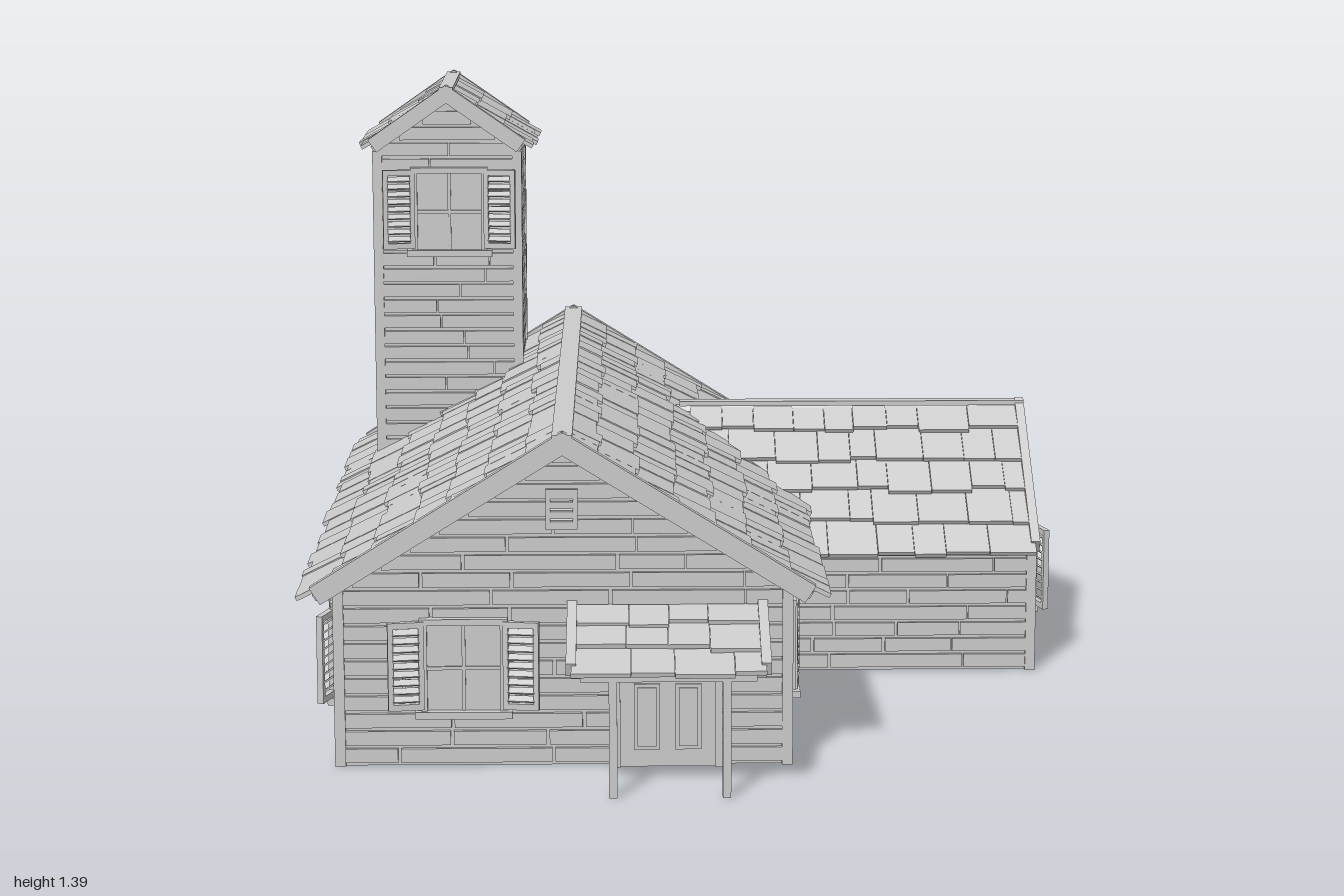
import * as THREE from 'three';
import { mergeGeometries } from 'three/addons/utils/BufferGeometryUtils.js';

const mat = new THREE.MeshStandardMaterial({ color: 0xcccccc, flatShading: true });

let seed = 7;
const rnd = (a, b) => {
  seed = (seed * 16807) % 2147483647;
  return a + (b - a) * seed / 2147483647;
};

// Box given by size and centre, optionally tilted about x
function box(w, h, d, x, y, z, tilt = 0) {
  const g = new THREE.BoxGeometry(w, h, d);
  if (tilt) g.rotateX(tilt);
  return g.translate(x, y, z);
}

function add(parent, name, geos) {
  const mesh = new THREE.Mesh(Array.isArray(geos) ? mergeGeometries(geos) : geos, mat);
  mesh.name = name;
  parent.add(mesh);
  return mesh;
}

// Group whose +z points out of a wall: x runs along the wall, y up
function face(parent, name, x, y, z, ry) {
  const g = new THREE.Group();
  g.name = name;
  g.position.set(x, y, z);
  g.rotation.y = ry;
  parent.add(g);
  return g;
}

// Staggered planks with gaps; half(y) gives half the wall width at a height
function siding(wall, y0, y1, half) {
  const geos = [], row = 0.04;
  for (let y = y0; y < y1 - 0.012; y += row) {
    const h = Math.min(row, y1 - y) - 0.008, yc = y + 0.008 + h / 2, e = half(yc);
    if (e < 0.015) continue;
    let x = -e;
    while (x < e - 0.001) {
      let end = x + rnd(0.14, 0.36);
      if (end > e - 0.06) end = e;
      geos.push(box(end - x - (end < e ? 0.007 : 0), h, 0.01, (x + end) / 2, yc, -0.005));
      x = end;
    }
  }
  add(wall, 'sidingPlanks', geos);
}

// Gabled building body, ridge along local z, with planks on all four sides
function building(parent, name, { x, z, ry, half, len, base, eave, ridge }) {
  const b = face(parent, name, x, 0, z, ry);
  const s = half - 0.009, l = len - 0.018;
  const shape = new THREE.Shape([[-s, base], [s, base], [s, eave], [0, ridge], [-s, eave]]
    .map(p => new THREE.Vector2(...p)));
  add(b, 'wallCore', new THREE.ExtrudeGeometry(shape, { depth: l, bevelEnabled: false }).translate(0, 0, -l / 2));
  const gable = y => Math.min(half, half * (ridge - y) / (ridge - eave));
  for (const k of [0, 1]) {
    siding(face(b, 'gableWall', 0, 0, (k ? -1 : 1) * len / 2, k * Math.PI), base, ridge, gable);
    siding(face(b, 'sideWall', (k ? -1 : 1) * half, 0, 0, (k ? -1 : 1) * Math.PI / 2), base, eave, () => len / 2);
  }
  const posts = [];
  for (const i of [-1, 1]) for (const j of [-1, 1])
    posts.push(box(0.024, eave - base, 0.024, i * (half - 0.009), (eave + base) / 2, j * (len / 2 - 0.009)));
  add(b, 'cornerTrim', posts);
  return b;
}

// One roof slope hung from its ridge: x along the ridge, y the normal, z downhill
function slope(parent, name, { at, ry, run, drop, x0, x1, rows, start, ends = [0, 1], barge = 0.045 }) {
  const g = new THREE.Group();
  g.name = name;
  g.position.set(...at);
  g.rotation.set(Math.atan2(drop, run), ry, 0, 'YXZ');
  parent.add(g);
  const L = Math.hypot(run, drop), step = L / rows, w = x1 - x0, c = (x0 + x1) / 2;
  add(g, 'roofDeck', box(w, 0.016, L - 0.03, c, -0.024, L / 2 - 0.015));
  const shingles = [];
  for (let r = 0; r < rows; r++) {
    const [a, b] = start ? start((r + 0.75) / rows) : [x0, x1];
    let x = a;
    while (x < b - 0.001) {
      let end = x + rnd(0.05, 0.13);
      if (end > b - 0.04) end = b;
      const low = (r + 1) * step + rnd(-0.014, 0.008), top = Math.max(0, r * step - 0.02);
      shingles.push(box(end - x - 0.001, 0.01, low - top, (x + end) / 2,
        -0.009 + rnd(-0.002, 0.002), (low + top) / 2, -0.1));
      x = end;
    }
  }
  add(g, 'shingles', shingles);
  add(g, 'bargeboards', ends.map(e =>
    box(0.022, barge, L - 0.035, e ? x1 : x0, -barge / 2 + 0.003, (L - 0.035) / 2)));
  return g;
}

// Louvred shutter hinged at its local x = 0, reaching to x = w
function shutter(parent, x, y, w, h, angle) {
  const s = face(parent, 'shutter', x, y, 0.012, angle), a = Math.abs(w);
  const geos = [box(a, 0.014, 0.014, w / 2, 0.007, 0), box(a, 0.014, 0.014, w / 2, h - 0.007, 0)];
  for (const k of [0, 1])
    geos.push(box(0.012, h, 0.014, k ? w - Math.sign(w) * 0.006 : Math.sign(w) * 0.006, h / 2, 0));
  for (let i = 0; i < 9; i++)
    geos.push(box(a - 0.02, 0.004, 0.017, w / 2, 0.024 + i * (h - 0.048) / 8, 0, 0.6));
  add(s, 'louvres', geos);
}

// Window centred at x with its sill at y; shutters open beside it or closed over it
function windowUnit(wall, x, y, open, ajar = 0.15) {
  const g = face(wall, 'window', x, y, 0, 0), w = 0.175, h = 0.225;
  add(g, 'pane', box(w, h, 0.008, 0, h / 2, 0.002));
  add(g, 'windowFrame', [
    box(0.014, h, 0.022, -w / 2, h / 2, 0.003), box(0.014, h, 0.022, w / 2, h / 2, 0.003),
    box(w + 0.02, 0.014, 0.024, 0, h - 0.007, 0.004), box(w + 0.04, 0.016, 0.034, 0, 0.008, 0.008),
    box(0.008, h, 0.012, 0, h / 2, 0.004), box(w, 0.008, 0.012, 0, h / 2, 0.004)]);
  for (const s of [-1, 1]) {
    if (open) shutter(g, s * w / 2, 0.02, s * 0.08, 0.2, -s * ajar);
    else shutter(g, s * w / 2, 0.014, -s * 0.084, 0.2, s * 0.1);
  }
}

// Four-panel door
function door(wall, x) {
  const g = face(wall, 'door', x, 0, 0, 0);
  add(g, 'doorLeaf', box(0.21, 0.27, 0.016, 0, 0.135, 0));
  add(g, 'doorFrame', [box(0.016, 0.29, 0.028, -0.113, 0.145, 0.002),
    box(0.016, 0.29, 0.028, 0.113, 0.145, 0.002), box(0.242, 0.018, 0.028, 0, 0.281, 0.002)]);
  const panels = [];
  for (const s of [-1, 1]) for (const [y, h] of [[0.115, 0.15], [0.23, 0.045]])
    panels.push(box(0.058, h, 0.008, s * 0.046, y, 0.008), box(0.042, h - 0.016, 0.008, s * 0.046, y, 0.011));
  add(g, 'doorPanels', panels);
}

export function createModel() {
  seed = 7;
  const house = new THREE.Group();
  house.name = 'house';
  const H = Math.PI / 2;

  // Wall bodies
  building(house, 'mainBuilding', { x: -0.295, z: -0.12, ry: 0, half: 0.505, len: 1.67, base: 0, eave: 0.4, ridge: 0.715 });
  building(house, 'sideWing', { x: 0.42, z: -0.47, ry: H, half: 0.41, len: 0.84, base: 0, eave: 0.3, ridge: 0.56 });
  building(house, 'tower', { x: -0.605, z: -0.745, ry: 0, half: 0.185, len: 0.37, base: 0.4, eave: 1.22, ridge: 1.345 });
  add(house, 'junctionTrim', box(0.03, 0.36, 0.03, 0.225, 0.18, -0.06));

  // Roofs: each pair of slopes mirrors about its ridge
  for (const s of [-1, 1]) {
    const z0 = s > 0 ? -0.725 : -0.965, z1 = s > 0 ? 0.965 : 0.725;
    slope(house, 'mainRoofSlope', { at: [-0.295, 0.757, 0], ry: s * H, run: 0.585, drop: 0.365, x0: z0, x1: z1, rows: 7 });
    slope(house, 'towerRoofSlope', { at: [-0.605, 1.385, -0.753], ry: s * H, run: 0.225, drop: 0.157,
      x0: -0.2, x1: 0.2, rows: 3, barge: 0.038 });
    // Wing courses begin where they leave the main roof
    const valley = t => {
      const v = Math.min(0.21, -0.295 + (0.757 - 0.595 + t * 0.295) / 0.624 - 0.03);
      return s > 0 ? [v, 0.84] : [-0.84, -v];
    };
    slope(house, 'wingRoofSlope', { at: [0, 0.597, -0.47], ry: s > 0 ? 0 : Math.PI, run: 0.445, drop: 0.295,
      x0: s > 0 ? -0.03 : -0.84, x1: s > 0 ? 0.84 : 0.03, rows: 5, start: valley, ends: [s > 0 ? 1 : 0], barge: 0.035 });
  }
  add(house, 'ridgeCaps', [box(0.045, 0.014, 1.712, -0.295, 0.746, -0.12),
    box(0.035, 0.012, 0.42, -0.605, 1.376, -0.753), box(0.87, 0.012, 0.035, 0.415, 0.59, -0.47)]);

  // Front wall
  const front = face(house, 'frontFittings', 0, 0, 0.717, 0);
  windowUnit(front, -0.515, 0.115, true);
  door(front, -0.065);
  add(front, 'gableVent', [box(0.07, 0.09, 0.016, -0.297, 0.585, 0),
    ...[-1, 0, 1].map(i => box(0.05, 0.006, 0.014, -0.297, 0.585 + i * 0.022, 0.006, 0.5))]);

  // Porch
  const porch = face(house, 'porch', 0, 0, 0, 0);
  slope(porch, 'porchRoof', { at: [-0.065, 0.378, 0.705], ry: 0, run: 0.285, drop: 0.092,
    x0: -0.21, x1: 0.21, rows: 3, barge: 0.03 });
  add(porch, 'porchBeam', box(0.38, 0.018, 0.018, -0.065, 0.268, 0.95));
  add(porch, 'porchPosts', [-0.185, 0.06].map(x => box(0.018, 0.275, 0.018, x, 0.1375, 0.95)));

  // Right-hand walls of the main building and the wing
  const right = face(house, 'mainSideFittings', 0.212, 0, 0, H);
  windowUnit(right, -0.46, 0.11, false);
  const wingEnd = face(house, 'wingEndFittings', 0.842, 0, 0, H);
  windowUnit(wingEnd, 0.31, 0.11, true, 0.3);
  door(wingEnd, 0.59);

  // Opposite long wall
  const left = face(house, 'longWallFittings', -0.802, 0, 0, -H);
  windowUnit(left, -0.68, 0.11, false);
  windowUnit(left, -0.06, 0.11, true, 0.3);
  windowUnit(left, 0.5, 0.11, true, 0.3);

  // Back wall
  const back = face(house, 'backFittings', 0, 0, -0.957, Math.PI);
  windowUnit(back, 0.515, 0.11, false);
  windowUnit(back, 0.09, 0.11, false);

  // Tower windows
  windowUnit(face(house, 'towerFrontFittings', -0.6, 0, -0.558, 0), 0, 0.955, true);
  windowUnit(face(house, 'towerBackFittings', -0.6, 0, -0.932, Math.PI), 0, 0.94, false);
  return house;
}
